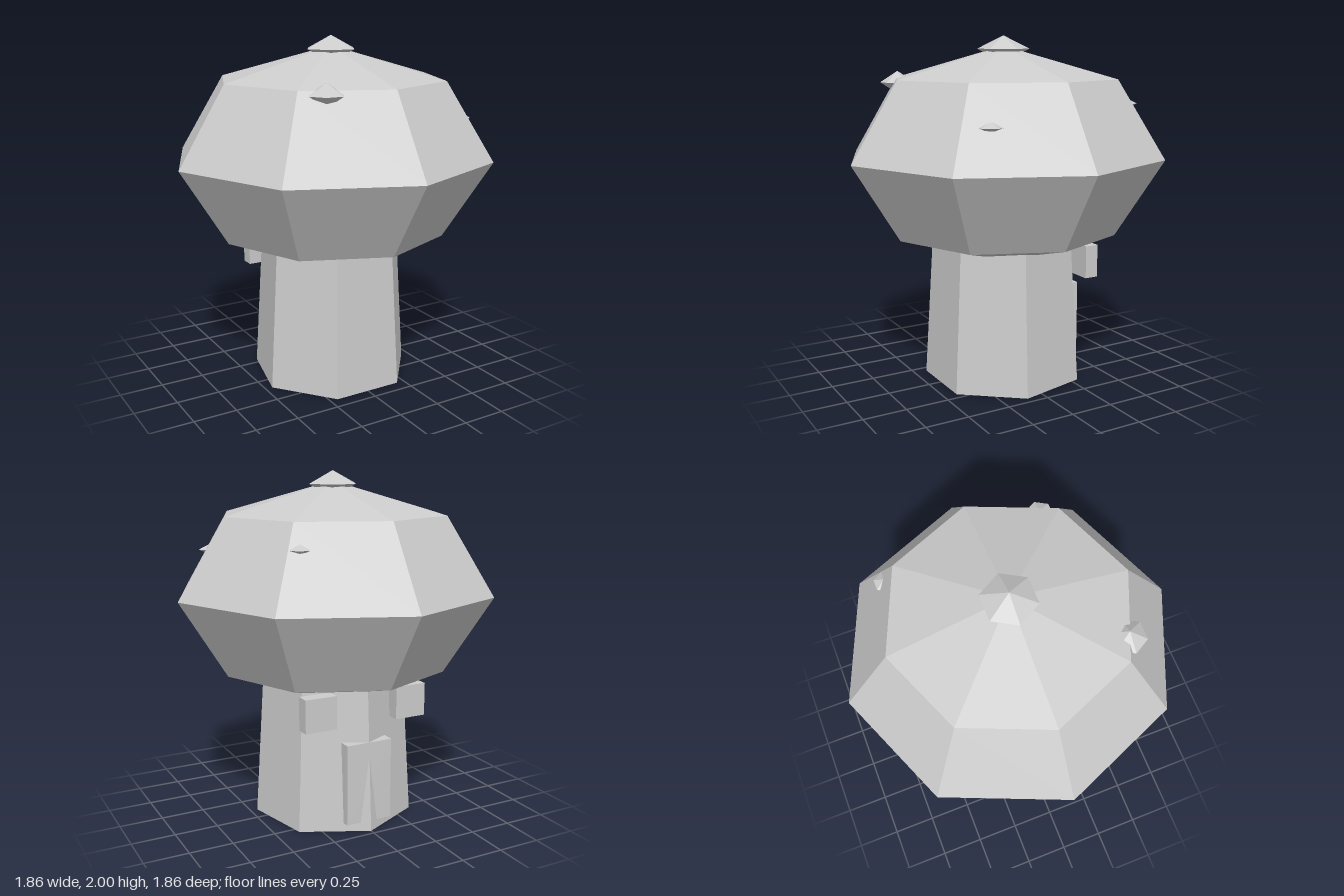
import * as THREE from 'three';

export function createModel() {
  const model = new THREE.Group();
  model.name = 'mushroomHouse';
  const grey = new THREE.MeshStandardMaterial({ color: 0xcccccc, flatShading: true });
  grey.name = 'plain grey';

  function add(name, geometry, x, y, z) {
    const mesh = new THREE.Mesh(geometry, grey);
    mesh.name = name;
    mesh.position.set(x, y, z);
    model.add(mesh);
    return mesh;
  }

  // Seven-sided tapering stem with one corner pointing to the back
  const stem = add('stem', new THREE.CylinderGeometry(0.415, 0.47, 0.88, 7), 0, 0.44, 0);
  stem.rotation.y = Math.PI;

  // Eight-sided squashed cap
  const cap = add('cap', new THREE.SphereGeometry(0.93, 8, 4), 0, 1.318, 0);
  cap.scale.y = 0.624 / 0.93;

  // Flattened six-sided spots sunk into the cap: x, y, z, radius, half height
  const spots = [
    ['topSpot', 0, 1.925, 0, 0.15, 0.075],
    ['frontSpot', -0.328, 1.735, 0.515, 0.1, 0.065],
    ['sideSpot', 0.585, 1.545, 0.41, 0.08, 0.035],
    ['backSpot', 0.46, 1.625, -0.528, 0.06, 0.03],
  ];
  for (const [name, x, y, z, radius, half] of spots) {
    add(name, new THREE.SphereGeometry(radius, 6, 2), x, y, z).scale.y = half / radius;
  }

  // Door and a pair of windows on the back
  add('door', new THREE.BoxGeometry(0.28, 0.47, 0.08), 0, 0.285, -0.402);
  for (const side of [1, -1]) {
    add(side > 0 ? 'leftWindow' : 'rightWindow',
      new THREE.BoxGeometry(0.19, 0.19, 0.08), side * 0.285, 0.713, -0.372);
  }

  return model;
}
